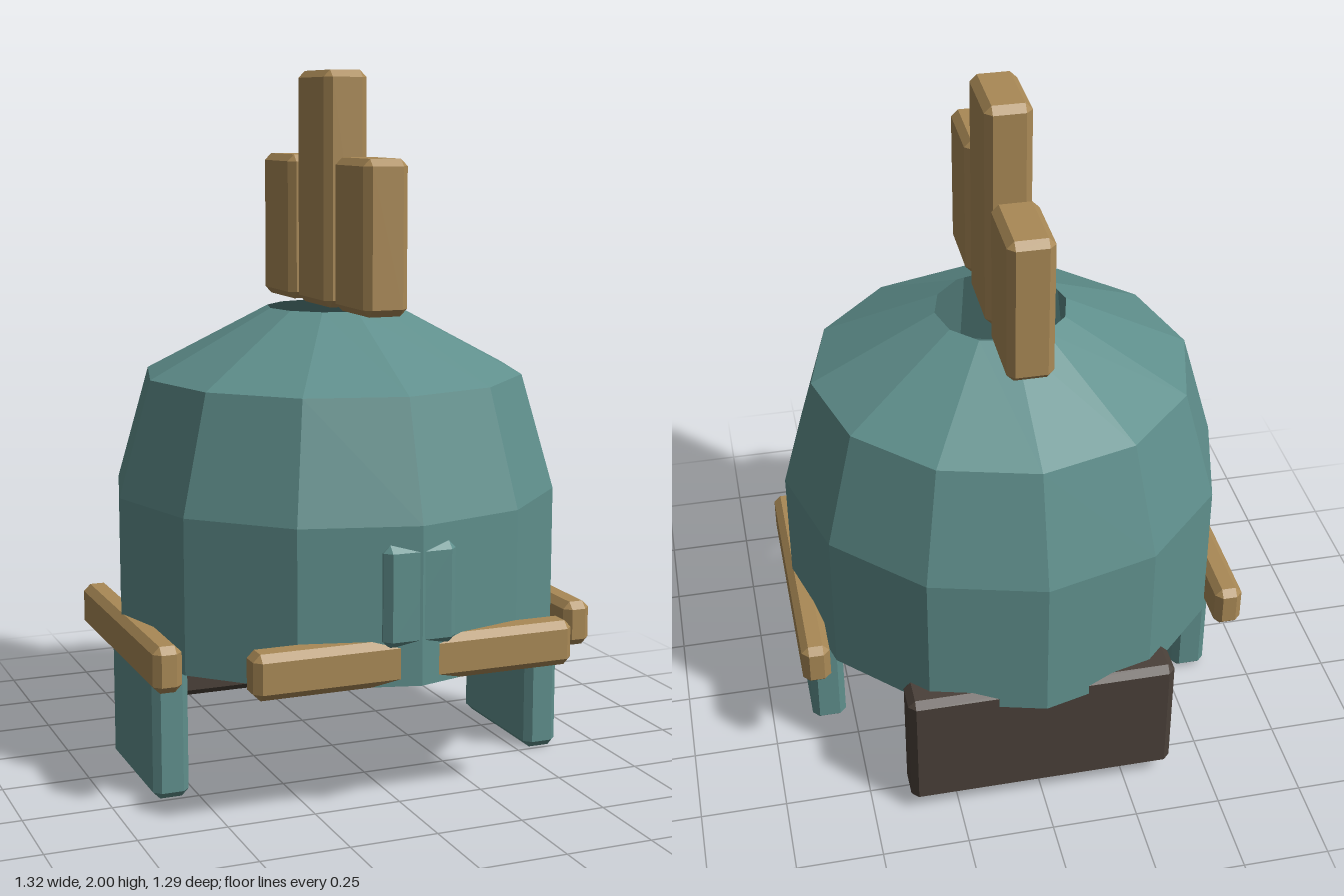
import * as THREE from 'three';
import { ConvexGeometry } from 'three/addons/geometries/ConvexGeometry.js';

const material = (color, side = THREE.FrontSide) =>
  new THREE.MeshStandardMaterial({ color, side, flatShading: true });

// Box with chamfered edges, given by its [min, max] range on each axis
function chamferBox(name, mat, x, y, z, bevel = 0.02) {
  const half = [x, y, z].map(([a, b]) => (b - a) / 2);
  const points = [];
  for (let face = 0; face < 3; face++) {
    for (const sx of [-1, 1]) for (const sy of [-1, 1]) for (const sz of [-1, 1]) {
      const p = [sx, sy, sz].map((s, i) => s * (half[i] - (i === face ? 0 : bevel)));
      points.push(new THREE.Vector3(...p));
    }
  }
  const mesh = new THREE.Mesh(new ConvexGeometry(points), mat);
  mesh.position.set(...[x, y, z].map(([a, b]) => (a + b) / 2));
  mesh.name = name;
  return mesh;
}

export function createModel() {
  const teal = material(0x5f8f8c);
  const wood = material(0xa98956);
  const dark = material(0x4a4039);
  const model = new THREE.Group();
  model.name = 'helmet';

  // Twelve-sided dome, open at the crown and the rim
  const profile = [[0.645, 0.375], [0.645, 0.81], [0.55, 1.14], [0.19, 1.33]]
    .map(([r, y]) => new THREE.Vector2(r, y));
  const dome = new THREE.Mesh(new THREE.LatheGeometry(profile, 12), material(0x5f8f8c, THREE.DoubleSide));
  dome.name = 'dome';
  model.add(dome);

  // Crest: a tall middle fin between two shorter ones
  const crest = new THREE.Group();
  crest.name = 'crest';
  const finX = [-0.065, 0.065];
  crest.add(
    chamferBox('middleFin', wood, finX, [1.335, 2], [-0.118, 0.118]),
    chamferBox('frontFin', wood, finX, [1.335, 1.76], [0.168, 0.404]),
    chamferBox('backFin', wood, finX, [1.335, 1.76], [-0.404, -0.168]),
  );
  model.add(crest);

  // Brow band and the plate above it
  model.add(
    chamferBox('browBand', wood, [-0.465, 0.465], [0.375, 0.5], [0.54, 0.63]),
    chamferBox('browPlate', teal, [-0.105, 0.105], [0.48, 0.76], [0.55, 0.643]),
  );

  // Cheek guards and side bands
  for (const [side, s] of [['left', 1], ['right', -1]]) {
    const mirror = (a, b) => (s > 0 ? [a, b] : [-b, -a]);
    model.add(
      chamferBox(side + 'CheekGuard', teal, mirror(0.525, 0.628), [0, 0.43], [-0.178, 0.252]),
      chamferBox(side + 'SideBand', wood, mirror(0.58, 0.662), [0.345, 0.475], [-0.382, 0.382]),
    );
  }

  // Neck guard
  model.add(chamferBox('neckGuard', dark, [-0.39, 0.39], [0.04, 0.425], [-0.61, -0.492]));

  return model;
}
